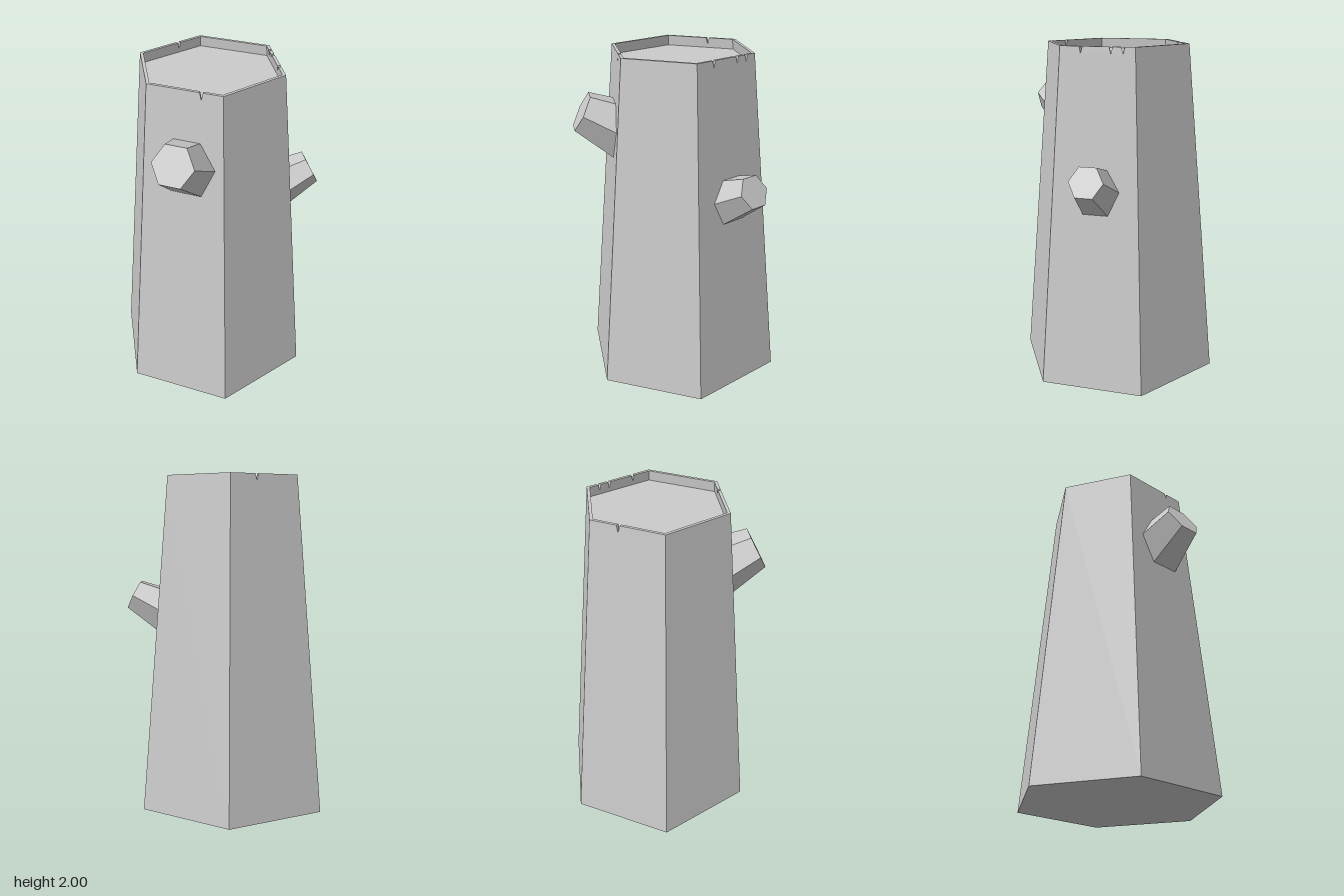
import * as THREE from 'three';

const HEIGHT = 2, BOTTOM_R = 0.617, TOP_R = 0.437, RIM = 0.021, FLOOR_Y = 1.94;
const radiusAt = (y) => BOTTOM_R + (TOP_R - BOTTOM_R) * y / HEIGHT;
const material = new THREE.MeshStandardMaterial({ color: 0xcccccc, flatShading: true });

function addMesh(group, geometry, name) {
  const mesh = new THREE.Mesh(geometry, material);
  mesh.name = name;
  group.add(mesh);
  return mesh;
}

// One tapered, mitred wall; V-shaped cracks are cut into its top edge.
// u runs -1..1 along the side, v is height, w goes from outside (0) to inside (1).
function barkPanel(angle, cracks) {
  const shape = new THREE.Shape();
  shape.moveTo(-1, 0);
  shape.lineTo(1, 0);
  shape.lineTo(1, HEIGHT);
  for (const u of [...cracks].sort((a, b) => b - a)) {
    shape.lineTo(u + 0.045, HEIGHT);
    shape.lineTo(u, HEIGHT - 0.04);
    shape.lineTo(u - 0.045, HEIGHT);
  }
  shape.lineTo(-1, HEIGHT);
  const geometry = new THREE.ExtrudeGeometry(shape, { depth: 1, bevelEnabled: false });
  const p = geometry.attributes.position;
  const c = Math.cos(angle), s = Math.sin(angle);
  for (let i = 0; i < p.count; i++) {
    const u = p.getX(i), y = p.getY(i);
    const r = radiusAt(y) - RIM * p.getZ(i);
    const out = r * Math.sqrt(3) / 2, along = u * r / 2;
    p.setXYZ(i, c * out - s * along, y, s * out + c * along);
  }
  geometry.computeVertexNormals();
  return geometry;
}

// Flaring six-sided branch stub, leaning upward out of a front side (side = +1 left, -1 right)
function addStub(group, side, end, endRadius, baseRadius, name) {
  const length = 0.3, tilt = THREE.MathUtils.degToRad(27);
  const geometry = new THREE.CylinderGeometry(endRadius, baseRadius, length, 6);
  geometry.translate(0, -length / 2, 0);
  const axis = new THREE.Vector3(side * 0.866 * Math.cos(tilt), Math.sin(tilt), 0.5 * Math.cos(tilt)).normalize();
  const tangent = new THREE.Vector3(-side * 0.5, 0, 0.866).normalize();
  const across = new THREE.Vector3().crossVectors(axis, tangent);
  const stub = addMesh(group, geometry, name);
  stub.quaternion.setFromRotationMatrix(new THREE.Matrix4().makeBasis(across, axis, tangent));
  stub.position.set(...end);
}

export function createModel() {
  const stump = new THREE.Group();
  stump.name = 'treeStump';

  // Six bark walls, with cracks listed per side
  const cracks = [[-0.68, -0.36, 0.44], [], [-0.44], [], [0.23], []];
  const bark = new THREE.Group();
  bark.name = 'bark';
  cracks.forEach((list, i) => addMesh(bark, barkPanel(Math.PI / 6 + i * Math.PI / 3, list), 'barkPanel'));
  stump.add(bark);

  // Recessed cut surface and underside
  const cut = new THREE.CircleGeometry(radiusAt(FLOOR_Y) - RIM, 6).rotateX(-Math.PI / 2);
  addMesh(stump, cut, 'cutSurface').position.y = FLOOR_Y;
  addMesh(stump, new THREE.CircleGeometry(BOTTOM_R, 6).rotateX(Math.PI / 2), 'underside');

  // Cut-off branches
  addStub(stump, -1, [-0.503, 1.66, 0.312], 0.125, 0.19, 'upperBranchStub');
  addStub(stump, 1, [0.535, 1.285, 0.303], 0.102, 0.16, 'lowerBranchStub');
  return stump;
}
